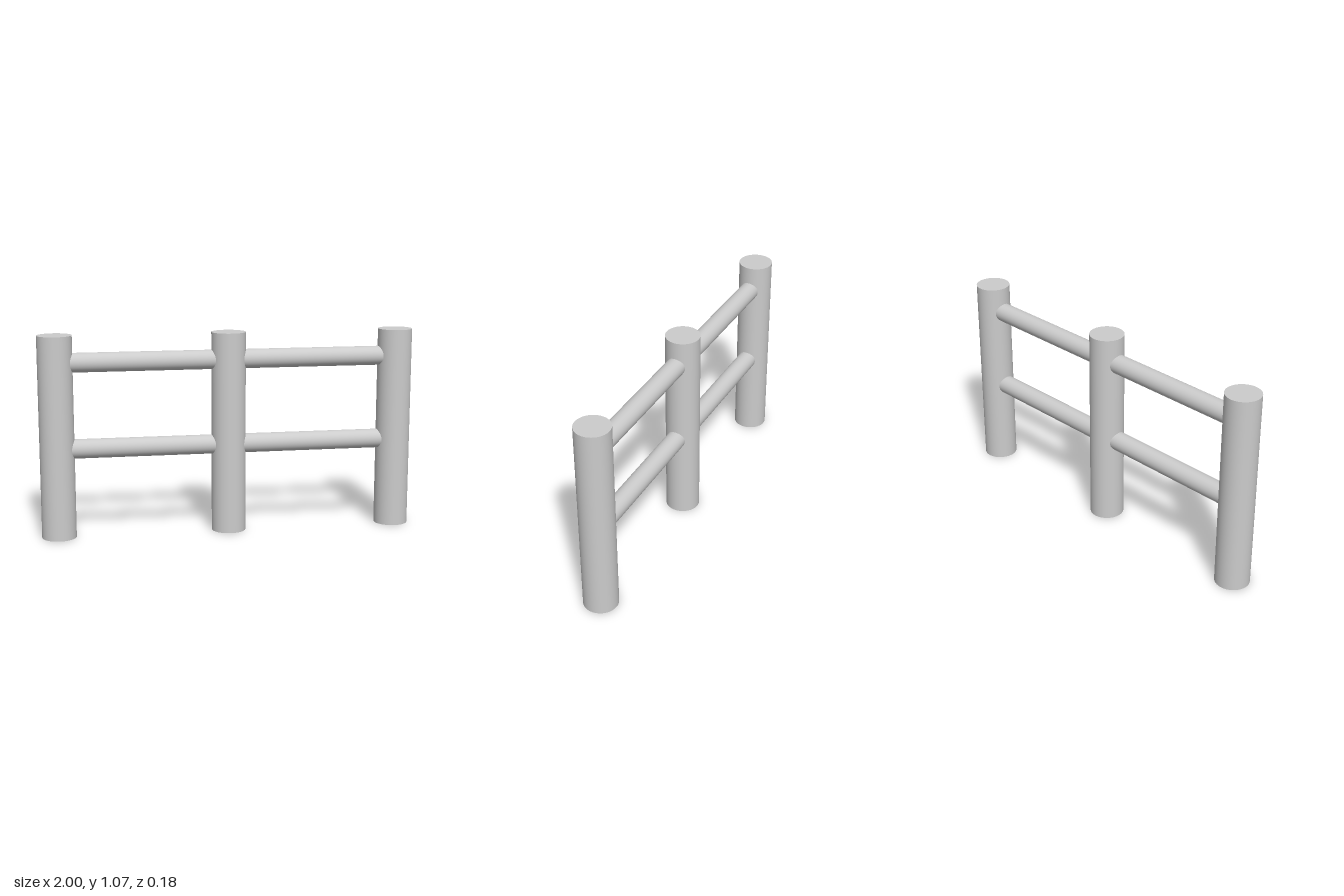
import * as THREE from 'three';

const POST_RADIUS = 0.091;
const POST_HEIGHT = 1.072;
const POST_SPACING = 0.909;
const RAIL_RADIUS = 0.051;
const RAIL_HEIGHTS = [0.473, 0.928];

export function createModel() {
  const model = new THREE.Group();
  model.name = 'fence';
  const material = new THREE.MeshStandardMaterial({ color: 0xcccccc });

  // Three round posts standing on the ground
  const postGeometry = new THREE.CylinderGeometry(POST_RADIUS, POST_RADIUS, POST_HEIGHT, 64);
  ['rightPost', 'middlePost', 'leftPost'].forEach((name, i) => {
    const post = new THREE.Mesh(postGeometry, material);
    post.name = name;
    post.position.set((i - 1) * POST_SPACING, POST_HEIGHT / 2, 0);
    model.add(post);
  });

  // Two round rails per bay, their open ends buried in the posts
  const railLength = POST_SPACING - POST_RADIUS;
  const railGeometry = new THREE.CylinderGeometry(RAIL_RADIUS, RAIL_RADIUS, railLength, 48, 1, true);
  railGeometry.rotateZ(Math.PI / 2);
  for (const side of [-1, 1]) {
    RAIL_HEIGHTS.forEach((y, i) => {
      const rail = new THREE.Mesh(railGeometry, material);
      rail.name = (side < 0 ? 'right' : 'left') + (i ? 'UpperRail' : 'LowerRail');
      rail.position.set(side * POST_SPACING / 2, y, 0);
      model.add(rail);
    });
  }

  return model;
}
